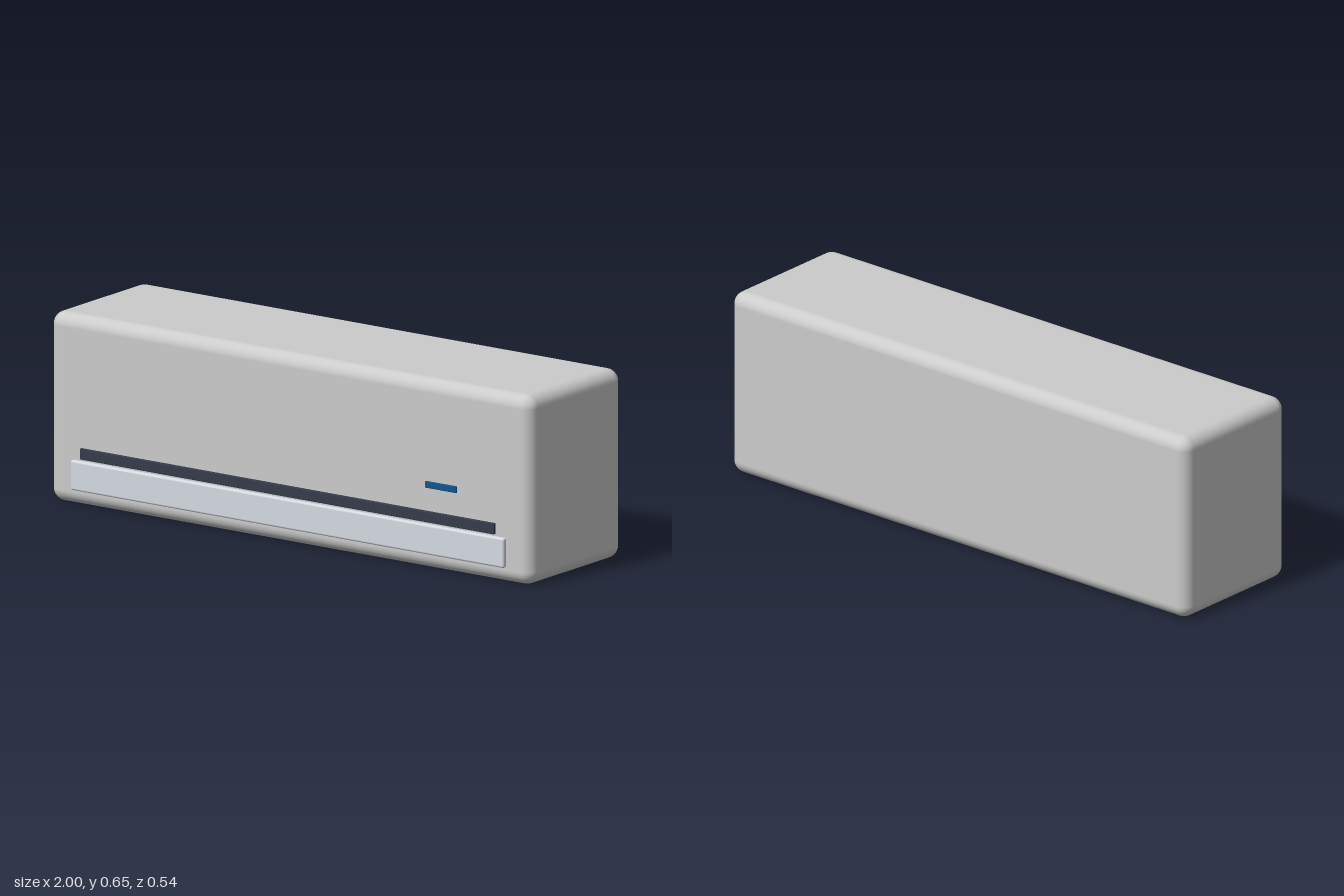
import * as THREE from 'three';
import { RoundedBoxGeometry } from 'three/addons/geometries/RoundedBoxGeometry.js';

// Rounded box spanning the given [min, max] ranges
function roundedPart(name, [x0, x1], [y0, y1], [z0, z1], radius, segments, color) {
  const mesh = new THREE.Mesh(
    new RoundedBoxGeometry(x1 - x0, y1 - y0, z1 - z0, segments, radius),
    new THREE.MeshStandardMaterial({ color })
  );
  mesh.name = name;
  mesh.position.set((x0 + x1) / 2, (y0 + y1) / 2, (z0 + z1) / 2);
  return mesh;
}

export function createModel() {
  const group = new THREE.Group();
  group.name = 'wallAirConditioner';

  group.add(
    // Main casing
    roundedPart('casing', [-1, 1], [0, 0.652], [-0.269, 0.254], 0.045, 5, 0xcccccc),
    // Air deflector along the lower front
    roundedPart('airFlap', [-0.9, 0.9], [0.054, 0.157], [0.247, 0.269], 0.008, 3, 0xd5d9e2),
    // Dark outlet strip above the flap, standing just clear of the casing
    roundedPart('airOutlet', [-0.86, 0.86], [0.165, 0.203], [0.257, 0.269], 0.003, 2, 0x353c4a),
    // Small status display on the model's left
    roundedPart('statusDisplay', [0.572, 0.702], [0.283, 0.306], [0.259, 0.268], 0.003, 2, 0x0f5590)
  );
  return group;
}
